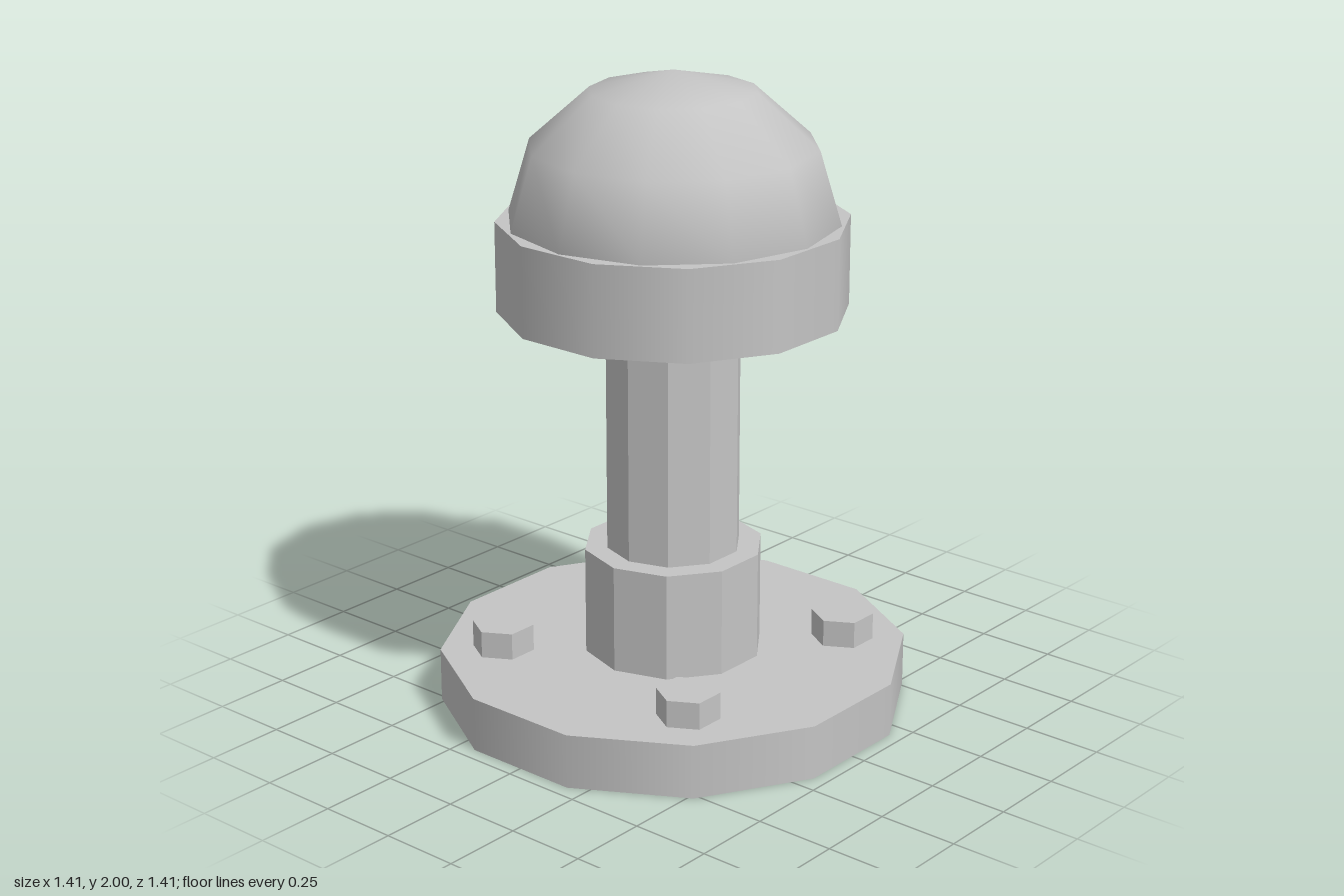
import * as THREE from 'three';

const metal = new THREE.MeshStandardMaterial({ color: 0xc4c4c4 });
metal.name = 'grey metal';

// Upright prism between two heights; faceted gives each side its own normal
function prism(name, radius, y0, y1, sides, { turn = 0, faceted = false } = {}) {
  let geometry = new THREE.CylinderGeometry(radius, radius, y1 - y0, sides);
  geometry.rotateY(turn);
  if (faceted) {
    geometry = geometry.toNonIndexed();
    geometry.computeVertexNormals();
  }
  const mesh = new THREE.Mesh(geometry, metal);
  mesh.name = name;
  mesh.position.y = (y0 + y1) / 2;
  return mesh;
}

export function createModel() {
  const model = new THREE.Group();
  model.name = 'domed bollard';
  const turn = Math.PI / 12;

  // Floor flange, collar and post
  model.add(prism('baseFlange', 0.73, 0, 0.17, 12, { turn }));
  model.add(prism('postCollar', 0.28, 0.17, 0.51, 10, { faceted: true }));
  model.add(prism('post', 0.21, 0.51, 1.27, 10, { faceted: true }));

  // Head: a band with a slightly flattened dome on top
  model.add(prism('headBand', 0.533, 1.27, 1.55, 12, { turn }));
  const domeGeometry = new THREE.SphereGeometry(0.505, 12, 3, 0, Math.PI * 2, 0, Math.PI / 2);
  domeGeometry.scale(1, 0.45 / 0.505, 1);
  const dome = new THREE.Mesh(domeGeometry, metal);
  dome.name = 'dome';
  dome.position.y = 1.55;
  model.add(dome);

  // Four hexagonal bolt heads
  const bolts = new THREE.Group();
  bolts.name = 'bolts';
  for (const x of [-1, 1]) {
    for (const z of [-1, 1]) {
      const bolt = prism('bolt', 0.097, 0.17, 0.255, 6, { faceted: true });
      bolt.position.x = x * 0.377;
      bolt.position.z = z * 0.377;
      bolts.add(bolt);
    }
  }
  model.add(bolts);
  return model;
}
